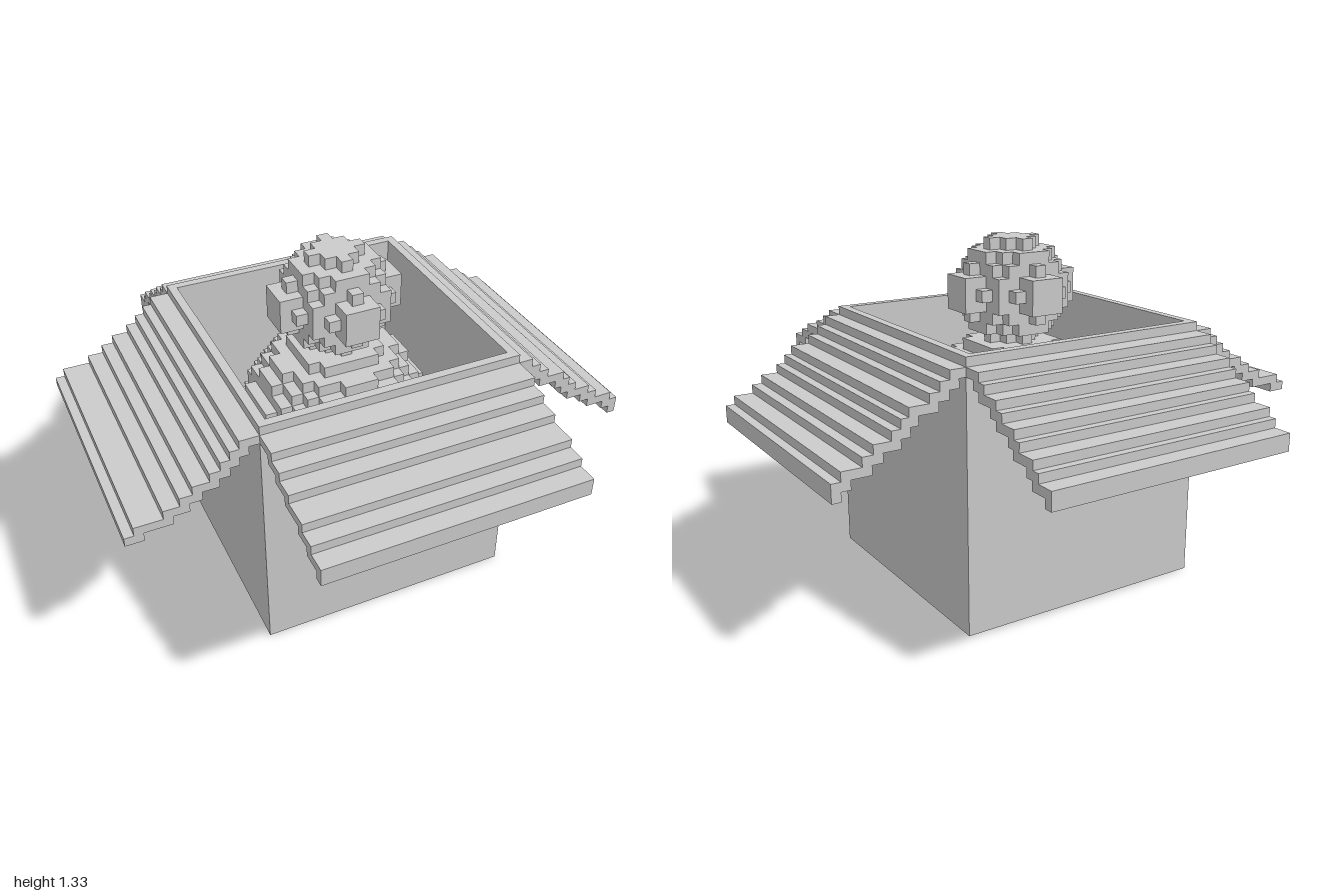
import * as THREE from 'three';
import { mergeGeometries } from 'three/addons/utils/BufferGeometryUtils.js';

const material = new THREE.MeshStandardMaterial({ color: 0xcccccc, flatShading: true });
const HALF = 0.507;    // half width of the carton
const HEIGHT = 1.02;
const WALL = 0.034;    // wall thickness, also the flap step height
const CUBE = 0.0449;   // cube size of the figure

function block(x0, x1, y0, y1, z0, z1) {
  return new THREE.BoxGeometry(x1 - x0, y1 - y0, z1 - z0)
    .translate((x0 + x1) / 2, (y0 + y1) / 2, (z0 + z1) / 2);
}

function mesh(name, geometries) {
  const m = new THREE.Mesh(mergeGeometries(geometries), material);
  m.name = name;
  return m;
}

// Ball of cubes: every row of cubes becomes one bar along x
function cubeBall(radius, limit, centreY) {
  const bars = [];
  for (let y = -radius; y <= radius; y++) {
    for (let z = -radius; z <= radius; z++) {
      const rest = limit - y * y - z * z;
      if (rest < 0) continue;
      const half = (Math.floor(Math.sqrt(rest)) + 0.5) * CUBE;
      bars.push(block(-half, half, centreY + (y - 0.5) * CUBE, centreY + (y + 0.5) * CUBE,
        (z - 0.5) * CUBE, (z + 0.5) * CUBE));
    }
  }
  return bars;
}

// Stepped flap sloping outward along +z, then turned to its side
function flap(name, edges, lastHeight, turn) {
  const steps = [];
  for (let i = 0; i < edges.length - 1; i++) {
    const top = HEIGHT - WALL * (i + 1) - 0.001;
    const height = i === edges.length - 2 ? lastHeight : WALL;
    const inner = i === 0 ? edges[0] : edges[i] - WALL;
    // the tall end lip hangs from the outermost cube only
    steps.push(block(-HALF, HALF, top - WALL, top, inner, edges[i + 1]));
    if (height > WALL) {
      steps.push(block(-HALF, HALF, top - height, top - WALL, edges[i + 1] - WALL, edges[i + 1]));
    }
  }
  const m = mesh(name, steps);
  m.rotation.y = turn;
  return m;
}

export function createModel() {
  const model = new THREE.Group();
  model.name = 'boxWithFigure';

  // Open carton
  const shape = new THREE.Shape();
  const hole = new THREE.Path();
  const corners = [[-1, -1], [1, -1], [1, 1], [-1, 1]];
  shape.setFromPoints(corners.map(([x, y]) => new THREE.Vector2(x * HALF, y * HALF)));
  const inside = HALF - WALL;
  hole.setFromPoints(corners.map(([x, y]) => new THREE.Vector2(x * inside, y * inside)));
  shape.holes.push(hole);
  const walls = new THREE.ExtrudeGeometry(shape, { depth: HEIGHT, bevelEnabled: false });
  walls.rotateX(-Math.PI / 2);
  model.add(mesh('cartonWalls', [walls]));
  model.add(mesh('cartonFloor', [block(-inside, inside, 0, WALL, -inside, inside)]));

  // Four flaps, each with its own slope
  const frontEdges = [HALF, 0.61, 0.675, 0.75, 0.857, 0.925, 1];
  const backEdges = [HALF, 0.585, 0.62, 0.69, 0.725, 0.795, 0.825, 0.9, 0.93, 1];
  const leftEdges = [HALF, 0.567, 0.605, 0.645, 0.72, 0.75, 0.785, 0.85, 0.89, 0.965, 1];
  const rightEdges = [HALF, 0.58, 0.615, 0.65, 0.69, 0.753, 0.8, 0.86, 0.965, 1];
  model.add(flap('frontFlap', frontEdges, 2 * WALL, 0));
  model.add(flap('backFlap', backEdges, 2 * WALL, Math.PI));
  model.add(flap('leftFlap', leftEdges, 2 * WALL, Math.PI / 2));
  model.add(flap('rightFlap', rightEdges, WALL, -Math.PI / 2));

  // Figure: small ball on a larger ball on a short stand
  const headY = 1.123;
  const bodyY = headY - 12 * CUBE;
  model.add(mesh('head', cubeBall(4, 20, headY)));
  model.add(mesh('body', cubeBall(7, 62, bodyY)));
  const stand = 2.5 * CUBE;
  model.add(mesh('stand', [block(-stand, stand, WALL, bodyY - 7.5 * CUBE, -stand, stand)]));

  // Square pads on the four sides of the head
  for (let i = 0; i < 4; i++) {
    const pad = mesh('headPad', [block(-1.5 * CUBE, 1.5 * CUBE, headY - 1.5 * CUBE, headY + 1.5 * CUBE,
      4 * CUBE, 5.5 * CUBE)]);
    pad.rotation.y = i * Math.PI / 2;
    model.add(pad);
  }
  return model;
}
